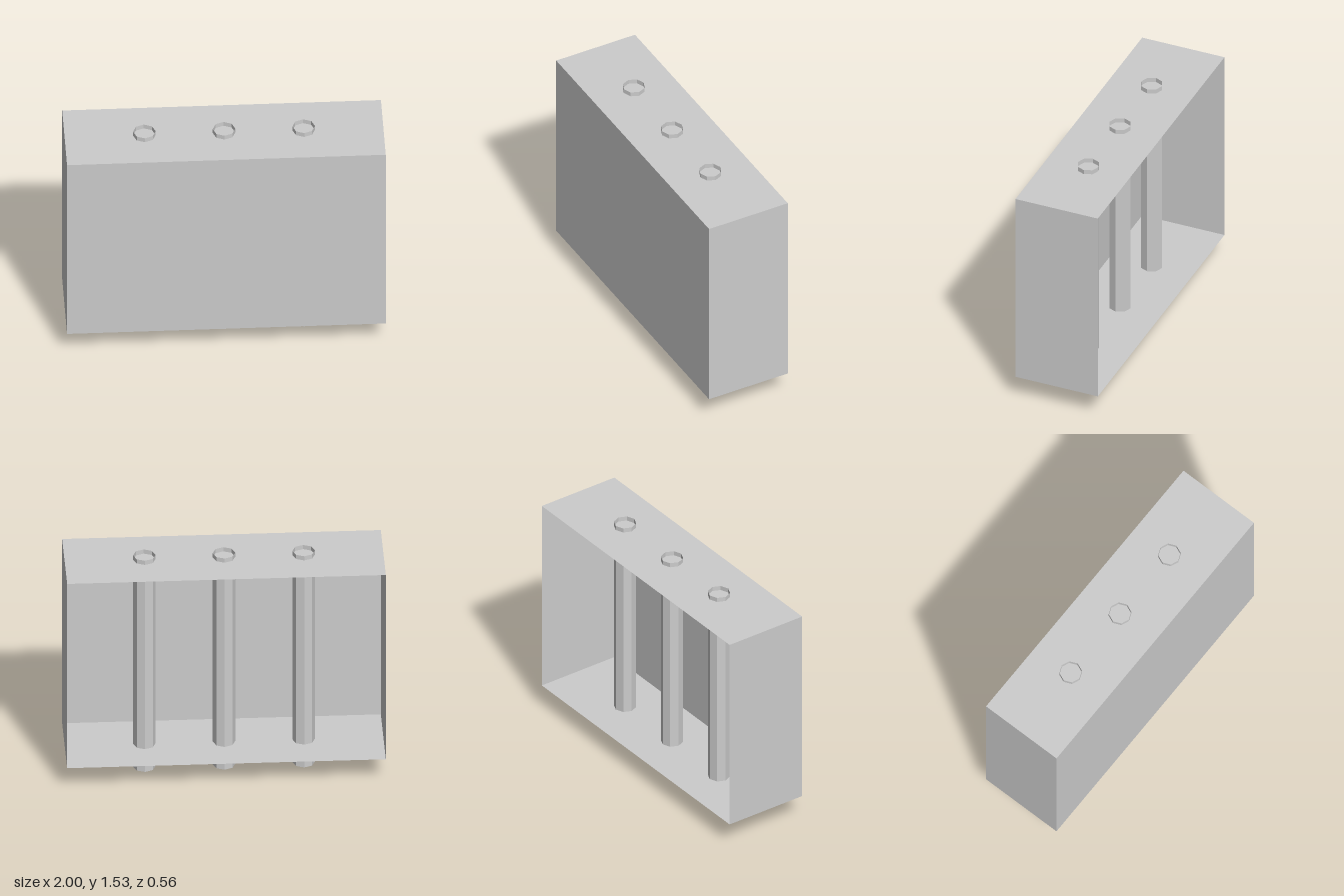
import * as THREE from 'three';

export function createModel() {
  const group = new THREE.Group();
  const grey = new THREE.MeshStandardMaterial({ color: 0xcccccc, side: THREE.DoubleSide, flatShading: true });
  grey.name = 'lightGrey';

  const W = 2, D = 0.562, bottom = 0.165, top = 1.5;
  const H = top - bottom, midY = (top + bottom) / 2;

  // Thin-walled case, open at the back
  const shell = new THREE.Group();
  shell.name = 'case';
  const addPanel = (name, w, h, position, rotation) => {
    const panel = new THREE.Mesh(new THREE.PlaneGeometry(w, h), grey);
    panel.name = name;
    panel.position.set(...position);
    panel.rotation.set(...rotation);
    shell.add(panel);
  };
  addPanel('frontPanel', W, H, [0, midY, D / 2], [0, 0, 0]);
  addPanel('topPanel', W, D, [0, top, 0], [-Math.PI / 2, 0, 0]);
  addPanel('bottomPanel', W, D, [0, bottom, 0], [Math.PI / 2, 0, 0]);
  addPanel('leftPanel', D, H, [W / 2, midY, 0], [0, Math.PI / 2, 0]);
  addPanel('rightPanel', D, H, [-W / 2, midY, 0], [0, -Math.PI / 2, 0]);
  group.add(shell);

  // Three open octagonal tubes passing through the case
  const tubeHeight = 1.53;
  const tubeGeometry = new THREE.CylinderGeometry(0.071, 0.071, tubeHeight, 8, 1, true);
  [['rightTube', -0.5], ['middleTube', 0], ['leftTube', 0.5]].forEach(([name, x]) => {
    const tube = new THREE.Mesh(tubeGeometry, grey);
    tube.name = name;
    tube.position.set(x, tubeHeight / 2, 0);
    group.add(tube);
  });

  return group;
}
